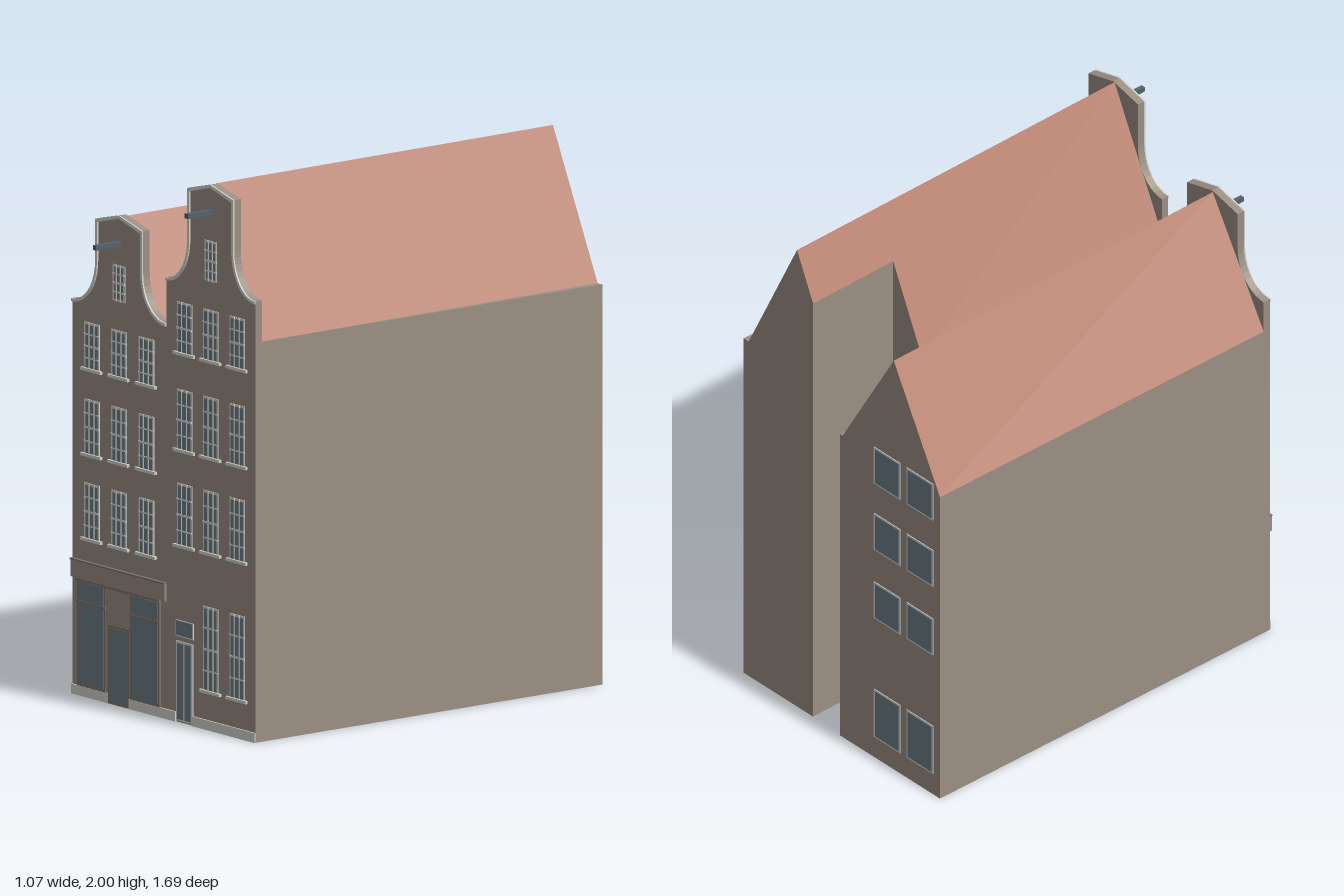
import * as THREE from 'three';

const mat = (name, color) => Object.assign(new THREE.MeshStandardMaterial({ color }), { name });

export function createModel() {
  const wall = mat('brick wall', 0x9b8f83);
  const roof = mat('roof tile', 0xbb8472);
  const light = mat('light trim', 0xd2d2cc);
  const glass = mat('window glass', 0x6c7d86);
  const frame = mat('shop frame', 0x82766b);
  const iron = mat('hoist beam', 0x55636c);
  const model = new THREE.Group();
  const FRONT = 0.73, BACK = 0.7;

  const group = (name, parent = model) => {
    const g = new THREE.Group();
    g.name = name;
    parent.add(g);
    return g;
  };
  const add = (parent, name, geo, m) => {
    const mesh = new THREE.Mesh(geo, m);
    mesh.name = name;
    parent.add(mesh);
    return mesh;
  };
  // Box given by its edges; z0 is the rear face, t the depth
  const plate = (parent, name, m, x0, x1, y0, y1, t, z0 = FRONT) =>
    add(parent, name, new THREE.BoxGeometry(x1 - x0, y1 - y0, t), m)
      .position.set((x0 + x1) / 2, (y0 + y1) / 2, z0 + t / 2);

  // House volume between two matching profiles (counter-clockwise from the front);
  // roofEdges lists the profile edges that are tiled
  function volume(name, front, back, zf, zb, roofEdges) {
    const walls = [], tiles = [];
    const F = front.map(p => [...p, zf]), B = back.map(p => [...p, zb]);
    F.forEach((p, i) => {
      const j = (i + 1) % F.length;
      (roofEdges.includes(i) ? tiles : walls).push(p, B[i], B[j], p, B[j], F[j]);
    });
    const tri = pts => THREE.ShapeUtils.triangulateShape(pts.map(p => new THREE.Vector2(...p)), []);
    tri(front).forEach(([a, b, c]) => walls.push(F[a], F[b], F[c]));
    tri(back).forEach(([a, b, c]) => walls.push(B[a], B[c], B[b]));
    const geo = new THREE.BufferGeometry();
    geo.setAttribute('position', new THREE.Float32BufferAttribute([...walls, ...tiles].flat(), 3));
    geo.addGroup(0, walls.length, 0);
    geo.addGroup(walls.length, tiles.length, 1);
    geo.computeVertexNormals();
    add(model, name, geo, [wall, roof]);
  }

  // Profile: floor, right wall, flat eave strip, ridge, left wall
  const profile = (l, r, eaveX, eave, ridgeX, ridge, leftY = eave) =>
    [[l, 0], [r, 0], [r, eave], [eaveX, eave], [ridgeX, ridge], [l, leftY]];
  volume('leftHouse', profile(-0.54, 0.002, 0, 1.32, -0.27, 1.79),
    profile(-0.515, 0.016, 0.001, 1.32, -0.27, 1.79), BACK, -0.845, [3, 4]);
  volume('rightHouse', profile(0, 0.51, 0.508, 1.465, 0.25, 2),
    profile(0.011, 0.526, 0.507, 1.465, 0.25, 2), BACK, -0.45, [3, 4]);
  volume('rightHouseRearWing', profile(0.165, 0.526, 0.507, 1.465, 0.25, 2, 1.81),
    profile(0.165, 0.533, 0.506, 1.465, 0.25, 2, 1.81), -0.45, -0.838, [3, 4]);

  // Neck gable outline from left shoulder over the peak to the right, inset by d
  function gableLine({ x0, x1, n0, n1, shoulder, curveTop, top, peak }, d) {
    const pts = [], N = 10;
    const ry = curveTop - shoulder + d;
    for (let i = 0; i <= N; i++) {
      const a = (i / N) * Math.PI / 2;
      pts.push([x0 + (n0 + d - x0) * Math.sin(a), curveTop - ry * Math.cos(a)]);
    }
    pts.push([n0 + d, top - d], [(n0 + n1) / 2, peak - d], [n1 - d, top - d]);
    for (let i = N; i >= 0; i--) {
      const a = (i / N) * Math.PI / 2;
      pts.push([x1 - (x1 - n1 + d) * Math.sin(a), curveTop - ry * Math.cos(a)]);
    }
    return pts;
  }
  const extrude = (pts, depth, z) => new THREE.ExtrudeGeometry(
    new THREE.Shape(pts.map(p => new THREE.Vector2(...p))), { depth, bevelEnabled: false }).translate(0, 0, z);

  function facade(name, g) {
    const f = group(name);
    const outer = gableLine(g, 0);
    add(f, 'facadeWall', extrude([[g.x0, 0], ...outer, [g.x1, 0]], FRONT - BACK, BACK), wall);
    add(f, 'gableTrim', extrude([...outer, ...gableLine(g, 0.011).reverse()], 0.006, FRONT), light);
    const c = (g.n0 + g.n1) / 2;
    plate(f, 'hoistBeam', iron, c - 0.009, c + 0.009, g.beam - 0.009, g.beam + 0.009, 0.115);
    return f;
  }

  // Sash window: frame, glass, glazing bars and sill
  function sash(parent, cx, y0, y1, w = 0.086, sill = true) {
    const win = group('sashWindow', parent);
    const x0 = cx - w / 2, x1 = cx + w / 2, b = 0.008;
    plate(win, 'windowFrame', light, x0, x1, y0, y1, 0.003);
    plate(win, 'windowGlass', glass, x0 + b, x1 - b, y0 + b, y1 - b, 0.004);
    for (const t of [1 / 3, 2 / 3]) {
      const x = x0 + w * t;
      plate(win, 'glazingBar', light, x - 0.0025, x + 0.0025, y0, y1, 0.006);
    }
    for (const t of [0.25, 0.5, 0.75]) {
      const y = y0 + (y1 - y0) * t, h = t === 0.5 ? 0.004 : 0.0025;
      plate(win, 'glazingBar', light, x0, x1, y - h, y + h, 0.006);
    }
    if (sill) plate(win, 'windowSill', light, cx - 0.058, cx + 0.058, y0 - 0.004, y0 + 0.007, 0.011);
  }

  // Left facade
  const left = facade('leftFacade', { x0: -0.54, x1: 0, n0: -0.402, n1: -0.134,
    shoulder: 1.447, curveTop: 1.61, top: 1.762, peak: 1.796, beam: 1.693 });
  for (const [y0, y1] of [[1.2, 1.374], [0.887, 1.092], [0.577, 0.785]])
    for (const x of [-0.425, -0.27, -0.113]) sash(left, x, y0, y1);
  sash(left, -0.27, 1.48, 1.613, 0.07, false);

  // Right facade
  const right = facade('rightFacade', { x0: 0, x1: 0.51, n0: 0.126, n1: 0.388,
    shoulder: 1.617, curveTop: 1.78, top: 1.966, peak: 2, beam: 1.9 });
  for (const [y0, y1] of [[1.35, 1.54], [0.995, 1.22], [0.645, 0.876], [0.138, 0.451]])
    for (const x of [0.106, 0.256, 0.407])
      if (y0 > 0.2 || x > 0.2) sash(right, x, y0, y1);
  sash(right, 0.256, 1.645, 1.793, 0.068, false);

  // House door with fanlight
  const door = group('houseDoor', right);
  plate(door, 'doorFrame', light, 0.058, 0.154, 0.006, 0.298, 0.004);
  for (const x of [0.067, 0.11]) plate(door, 'doorGlass', glass, x, x + 0.035, 0.012, 0.29, 0.006);
  plate(door, 'fanlightFrame', light, 0.056, 0.156, 0.314, 0.374, 0.003);
  plate(door, 'fanlightGlass', glass, 0.06, 0.152, 0.319, 0.372, 0.005);

  // Shop front
  const shop = group('shopFront', left);
  plate(shop, 'shopFascia', wall, -0.54, 0, 0.43, 0.497, 0.009);
  plate(shop, 'shopCornice', frame, -0.54, 0, 0.492, 0.498, 0.012);
  plate(shop, 'shopPanel', wall, -0.51, -0.034, 0.036, 0.43, 0.003);
  plate(shop, 'shopHeadRail', frame, -0.51, -0.034, 0.42, 0.43, 0.01);
  for (const [x0, x1] of [[-0.508, -0.342], [-0.202, -0.036]]) {
    plate(shop, 'shopWindowFrame', frame, x0, x1, 0.036, 0.426, 0.005);
    plate(shop, 'shopWindowGlass', glass, x0 + 0.01, x1 - 0.01, 0.044, 0.418, 0.007);
    plate(shop, 'shopWindowRail', frame, x0, x1, 0.34, 0.35, 0.009);
  }
  plate(shop, 'shopDoorFrame', frame, -0.328, -0.21, 0, 0.29, 0.005);
  plate(shop, 'shopDoorGlass', glass, -0.319, -0.219, 0.01, 0.279, 0.007);

  // Stone plinth, broken at the doors
  for (const [x0, x1] of [[-0.54, -0.328], [-0.21, 0.056], [0.156, 0.51]])
    plate(model, 'plinth', light, x0, x1, 0, 0.036, 0.006);

  // Rear windows of the left house
  const rear = group('rearWindows');
  for (const [y0, y1] of [[1.2, 1.36], [0.91, 1.07], [0.61, 0.77], [0.09, 0.3]])
    for (const x of [-0.48, -0.307]) {
      plate(rear, 'rearWindowFrame', light, x, x + 0.14, y0, y1, 0.003, -0.848);
      plate(rear, 'rearWindowGlass', glass, x + 0.007, x + 0.133, y0 + 0.007, y1 - 0.007, 0.004, -0.849);
    }
  return model;
}
